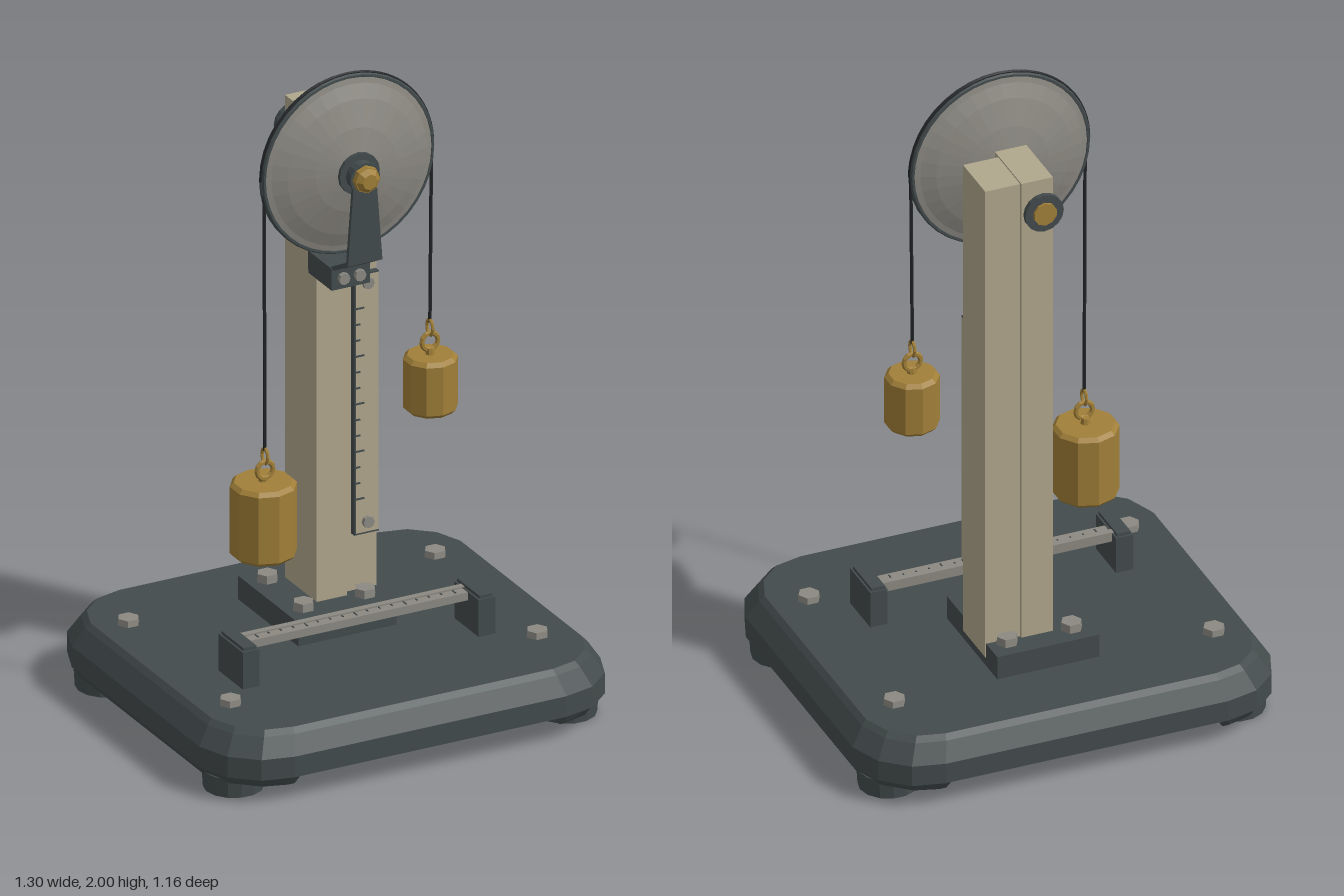
import * as THREE from 'three';
import { ConvexGeometry } from 'three/addons/geometries/ConvexGeometry.js';

const mat = (name, color, opts = {}) => {
  const m = new THREE.MeshStandardMaterial({ color, flatShading: true, ...opts });
  m.name = name;
  return m;
};

export function createModel() {
  const root = new THREE.Group();
  root.name = 'pulleyApparatus';
  const dark = mat('darkIron', 0x434b4c);
  const cream = mat('creamColumn', 0xb0a78d);
  const steel = mat('greySteel', 0x8c8982);
  const brass = mat('brass', 0xa17f38);
  const black = mat('blackCord', 0x222426);

  const add = (name, geo, material, x = 0, y = 0, z = 0, parent = root) => {
    const m = new THREE.Mesh(geo, material);
    m.name = name;
    m.position.set(x, y, z);
    parent.add(m);
    return m;
  };
  // box given by its extents
  const box = (name, material, x0, x1, y0, y1, z0, z1) =>
    add(name, new THREE.BoxGeometry(x1 - x0, y1 - y0, z1 - z0), material,
      (x0 + x1) / 2, (y0 + y1) / 2, (z0 + z1) / 2);
  // upright cylinder from y0 to y1
  const post = (name, material, r, y0, y1, x, z, sides = 12, rTop = r) =>
    add(name, new THREE.CylinderGeometry(rTop, r, y1 - y0, sides).rotateY(Math.PI / 2),
      material, x, (y0 + y1) / 2, z);
  // cylinder lying along z
  const axial = (name, material, r, z0, z1, x, y, sides = 16, rFront = r) =>
    add(name, new THREE.CylinderGeometry(rFront, r, z1 - z0, sides).rotateX(Math.PI / 2),
      material, x, y, (z0 + z1) / 2);

  // Base: chamfered slab with rounded corners
  const corner = (hx, hz, c) => [[hx - c, hz], [hx - c * 0.54, hz - c * 0.11],
    [hx - c * 0.18, hz - c * 0.43], [hx, hz - c * 0.9]];
  const ring = (y, hx, hz, c) => corner(hx, hz, c).flatMap(([x, z]) =>
    [[1, 1], [1, -1], [-1, 1], [-1, -1]].map(([sx, sz]) => new THREE.Vector3(x * sx, y, z * sz)));
  add('baseSlab', new ConvexGeometry([
    ...ring(0.08, 0.65, 0.578, 0.21), ...ring(0.145, 0.65, 0.578, 0.21),
    ...ring(0.2, 0.615, 0.545, 0.19), ...ring(0.216, 0.6, 0.53, 0.18)]), dark);

  // Side rails under the slab, leaving a shallow channel between them
  for (const s of [1, -1]) {
    const pts = [...ring(0.05, 0.63, 0.555, 0.2), ...ring(0.085, 0.65, 0.578, 0.21)]
      .filter(p => p.x * s > 0);
    for (const sz of [1, -1]) {
      pts.push(new THREE.Vector3(0.45 * s, 0.05, 0.555 * sz), new THREE.Vector3(0.42 * s, 0.085, 0.578 * sz));
    }
    add('baseRail', new ConvexGeometry(pts), dark);
    for (const sz of [1, -1]) post('foot', dark, 0.088, 0, 0.06, 0.54 * s, 0.39 * sz, 14, 0.092);
  }
  for (const x of [-0.505, 0.49]) for (const z of [-0.317, 0.305])
    post('baseBolt', steel, 0.035, 0.21, 0.236, x, z, 6, 0.032);

  // Column foot plate and its bolts
  box('columnPlate', dark, -0.15, 0.168, 0.21, 0.29, -0.315, 0.052);
  for (const x of [-0.09, 0.11]) for (const z of [-0.25, -0.03])
    post('plateBolt', steel, 0.034, 0.285, 0.315, x, z, 6, 0.031);

  // Stepped column
  box('columnWide', cream, -0.036, 0.062, 0.25, 1.81, -0.243, -0.05);
  box('columnNarrow', cream, 0.062, 0.171, 0.245, 1.805, -0.234, -0.073);

  // Graduated scale on the column
  box('columnScale', cream, 0.09, 0.168, 0.47, 1.29, -0.08, -0.056);
  box('scaleEdge', dark, 0.088, 0.093, 0.47, 1.29, -0.08, -0.054);
  for (const y of [0.47, 1.286]) box('scaleEnd', dark, 0.09, 0.168, y, y + 0.004, -0.08, -0.054);
  for (let i = 0; i < 13; i++) {
    const y = 0.58 + i * 0.05;
    box('scaleTick', dark, 0.093, i % 3 ? 0.107 : 0.12, y, y + 0.005, -0.058, -0.053);
  }
  for (const y of [0.507, 1.26]) axial('scaleScrew', steel, 0.018, -0.06, -0.043, 0.131, y, 8);

  // Pulley wheel
  const hubY = 1.715, wheelZ = 0.065;
  const profile = [[0, -0.07], [0.055, -0.07], [0.13, -0.056], [0.21, -0.033], [0.252, -0.016],
    [0.27, -0.012], [0.27, 0.012], [0.252, 0.016], [0.21, 0.033], [0.13, 0.056], [0.055, 0.07], [0, 0.07]];
  add('pulleyWheel', new THREE.LatheGeometry(profile.map(p => new THREE.Vector2(...p)), 32)
    .rotateX(Math.PI / 2), steel, 0, hubY, wheelZ);
  for (const z of [-0.008, 0.008])
    add('pulleyRim', new THREE.TorusGeometry(0.273, 0.007, 6, 40), dark, 0, hubY, wheelZ + z);
  add('cordOnWheel', new THREE.TorusGeometry(0.278, 0.006, 6, 40, Math.PI), black, 0, hubY, wheelZ);

  // Axle, washers and nuts
  axial('axle', steel, 0.025, -0.26, 0.19, 0, hubY - 0.005);
  axial('frontWasher', dark, 0.065, 0.13, 0.145, 0, hubY - 0.005);
  axial('frontCollar', dark, 0.045, 0.14, 0.168, 0, hubY - 0.005);
  axial('rearHubCollar', dark, 0.045, -0.04, 0, 0, hubY - 0.005);
  axial('rearHubWasher', dark, 0.062, -0.02, -0.008, 0, hubY - 0.005);
  axial('axleNut', brass, 0.042, 0.172, 0.195, 0, hubY - 0.005, 8, 0.04);
  axial('axleCap', brass, 0.038, 0.195, 0.21, 0, hubY - 0.005, 8, 0.024);
  axial('rearWasher', dark, 0.06, -0.267, -0.252, 0, hubY - 0.005);
  axial('rearCollar', dark, 0.04, -0.255, -0.24, 0, hubY - 0.005);
  axial('rearNut', brass, 0.036, -0.275, -0.264, 0, hubY - 0.005, 10);

  // Bracket: back plate, block and bent front arm
  box('bracketBack', dark, -0.055, 0.055, 1.335, 1.775, -0.066, -0.032);
  box('bracketBlock', dark, -0.062, 0.062, 1.333, 1.402, -0.05, 0.09);
  for (const x of [-0.026, 0.026]) axial('bracketScrew', steel, 0.018, 0.085, 0.104, x, 1.367, 8);
  const arm = new THREE.Shape([[0.08, 1.39], [0.178, 1.443], [0.178, 1.71], [0.166, 1.71],
    [0.166, 1.451], [0.08, 1.404]].map(p => new THREE.Vector2(...p)));
  const armGeo = new THREE.ExtrudeGeometry(arm, { depth: 0.12, bevelEnabled: false });
  armGeo.translate(0, 0, -0.06).rotateY(-Math.PI / 2);
  const ap = armGeo.attributes.position;
  // taper the arm towards its top
  for (let i = 0; i < ap.count; i++) ap.setX(i, ap.getX(i) * (1 - 0.4 * (ap.getY(i) - 1.39) / 0.32));
  armGeo.computeVertexNormals();
  add('bracketArm', armGeo, dark);
  axial('armEye', dark, 0.048, 0.165, 0.178, 0, hubY - 0.005);

  // Hanging weights: cord, hook, eyelet and faceted body
  const weight = (side, x, z, r, y0, y1, cordX, sides) => {
    const g = new THREE.Group();
    g.name = side + 'Weight';
    root.add(g);
    const b = 0.012;
    const pts = [[0, y0], [r - b, y0], [r, y0 + b], [r, y1 - b], [r - b, y1], [0, y1]];
    add('weightBody', new THREE.LatheGeometry(pts.map(p => new THREE.Vector2(...p)), sides),
      brass, x, 0, z, g);
    add('eyeStem', new THREE.CylinderGeometry(0.012, 0.016, 0.025, 8), brass, x, y1 + 0.006, z, g);
    add('eyelet', new THREE.TorusGeometry(0.026, 0.008, 6, 12), brass, x, y1 + 0.038, wheelZ, g);
    add('hook', new THREE.TorusGeometry(0.018, 0.005, 6, 10).scale(1, 1.3, 1).rotateY(Math.PI / 2),
      brass, x, y1 + 0.082, wheelZ, g);
    const path = new THREE.LineCurve3(new THREE.Vector3(x, y1 + 0.098, wheelZ),
      new THREE.Vector3(cordX, hubY, wheelZ));
    add('cord', new THREE.TubeGeometry(path, 1, 0.005, 6), black, 0, 0, 0, g);
  };
  weight('right', -0.265, 0.055, 0.098, 0.532, 0.765, -0.268, 10);
  weight('left', 0.27, 0.068, 0.08, 0.88, 1.055, 0.275, 10);

  // Ruler bar between two end blocks
  for (const x of [-0.402, 0.363]) {
    box('rulerBlock', dark, x - 0.027, x + 0.027, 0.21, 0.332, 0.09, 0.238);
    box('rulerBlockCap', dark, x - 0.021, x + 0.021, 0.33, 0.342, 0.096, 0.232);
  }
  box('rulerBar', steel, -0.385, 0.345, 0.305, 0.33, 0.12, 0.172);
  box('rulerStrip', steel, -0.385, 0.345, 0.328, 0.335, 0.12, 0.14);
  for (let i = 0; i < 17; i++) {
    const x = -0.34 + i * 0.04;
    box('rulerTick', dark, x, x + 0.004, 0.329, 0.332, 0.142, i % 4 ? 0.153 : 0.162);
  }
  return root;
}
